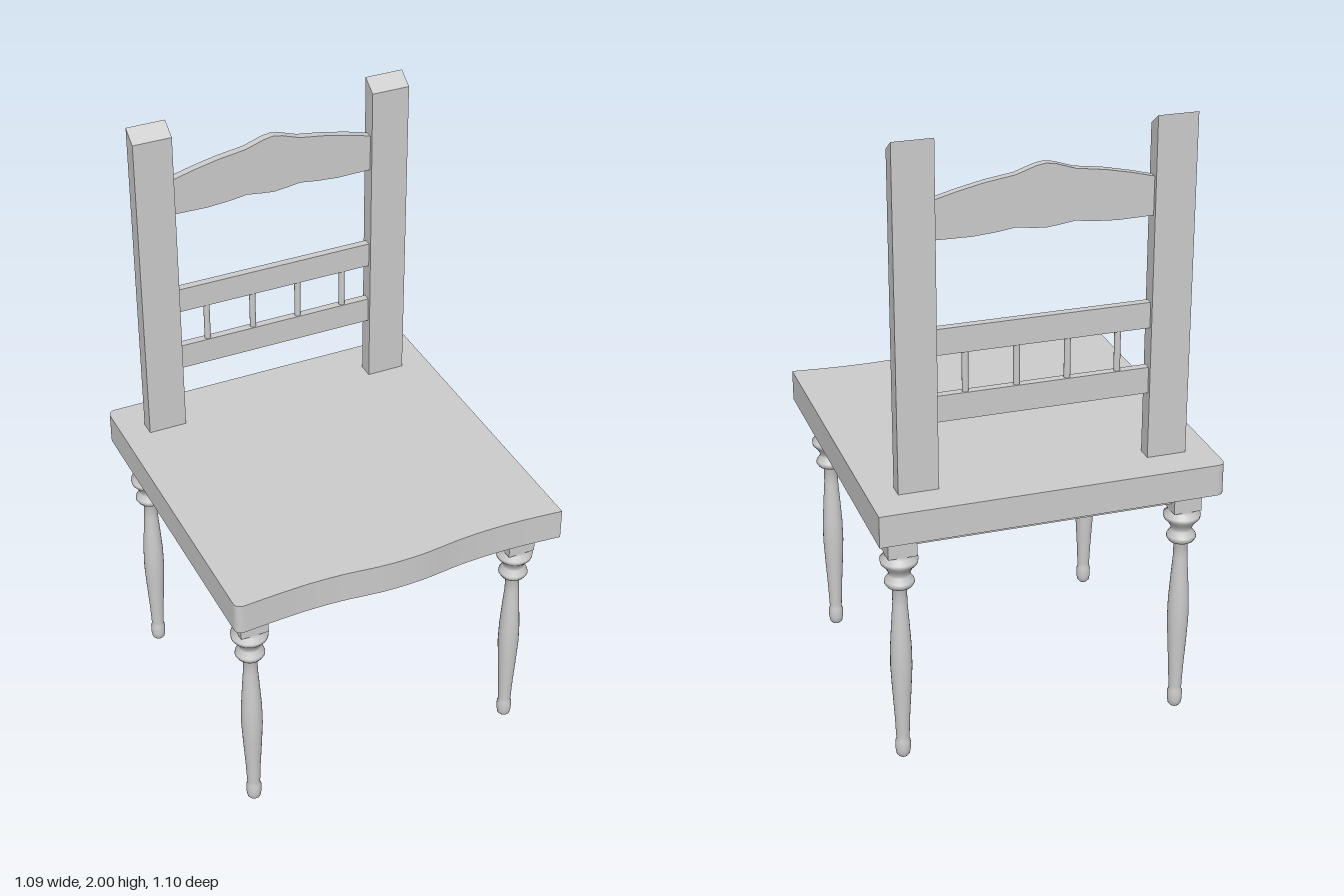
import * as THREE from 'three';

const material = new THREE.MeshStandardMaterial({ color: 0xcccccc });
const CX = -0.003; // the frame sits a hair off centre

function add(group, name, geometry, x = 0, y = 0, z = 0) {
  const mesh = new THREE.Mesh(geometry, material);
  mesh.name = name;
  mesh.position.set(x, y, z);
  group.add(mesh);
  return mesh;
}

const box = (w, h, d) => new THREE.BoxGeometry(w, h, d);
const extrude = (shape, depth) =>
  new THREE.ExtrudeGeometry(shape, { depth, bevelEnabled: false, curveSegments: 12 });

// Seat outline, drawn with shape y = -z: wavy front, two rounded corners
function seatGeometry() {
  const s = new THREE.Shape();
  s.moveTo(-0.515, -0.536);
  s.splineThru([[-0.42, -0.53], [-0.31, -0.526], [-0.2, -0.53], [-0.08, -0.543], [0, -0.546],
    [0.08, -0.543], [0.2, -0.53], [0.31, -0.526], [0.42, -0.53], [0.545, -0.541]]
    .map(([x, y]) => new THREE.Vector2(x, y)));
  s.lineTo(0.545, 0.549);
  s.lineTo(-0.515, 0.549);
  s.quadraticCurveTo(-0.545, 0.549, -0.545, 0.519);
  s.lineTo(-0.545, -0.51);
  s.quadraticCurveTo(-0.545, -0.538, -0.515, -0.536);
  return extrude(s, 0.102).rotateX(-Math.PI / 2);
}

// Turned leg: [radius, height], split at the crisp edges
function legGeometry() {
  const pts = [[0, 0.003], [0.014, 0.004], [0.021, 0.012], [0.024, 0.03], [0.024, 0.058],
    [0.02, 0.066], [0.021, 0.08], [0.024, 0.15], [0.03, 0.25], [0.034, 0.33], [0.033, 0.4],
    [0.028, 0.48], [0.023, 0.55], [0.022, 0.612], [0.04, 0.614], [0.047, 0.625], [0.045, 0.634],
    [0.034, 0.65], [0.034, 0.66], [0.042, 0.676], [0.057, 0.692], [0.059, 0.705],
    [0.045, 0.716], [0.045, 0.73]];
  return new THREE.LatheGeometry(pts.map(([r, y]) => new THREE.Vector2(r, y)), 24);
}

// Crest rail with a peaked top and a gently waved bottom
function crestGeometry() {
  const half = [[0.333, 1.815], [0.26, 1.834], [0.18, 1.851], [0.09, 1.864], [0.03, 1.884]];
  const low = [[-0.333, 1.696], [-0.22, 1.694], [-0.15, 1.699], [-0.09, 1.707], [-0.04, 1.7], [0, 1.696],
    [0.04, 1.7], [0.09, 1.707], [0.15, 1.699], [0.22, 1.694], [0.333, 1.696]];
  const top = [...half, [0, 1.889], ...half.map(([x, y]) => [-x, y]).reverse()];
  return extrude(new THREE.Shape([...low, ...top].map(([x, y]) => new THREE.Vector2(x, y))), 0.026);
}

// Back post: side profile (shape x = -z) with a slanted top
function postGeometry() {
  const profile = [[0.38, 0.91], [0.431, 0.91], [0.431, 2], [0.38, 1.965]];
  const s = new THREE.Shape(profile.map(([x, y]) => new THREE.Vector2(x, y)));
  return extrude(s, 0.125).translate(0, 0, -0.0625).rotateY(Math.PI / 2);
}

export function createModel() {
  const chair = new THREE.Group();
  chair.name = 'chair';

  add(chair, 'seat', seatGeometry(), 0, 0.817, 0);

  // Legs with their square blocks
  const leg = legGeometry();
  for (const sx of [-1, 1]) {
    for (const sz of [-1, 1]) {
      const g = new THREE.Group();
      g.name = `${sz > 0 ? 'front' : 'back'}${sx > 0 ? 'Left' : 'Right'}Leg`;
      g.position.set(CX + sx * 0.457, 0, sz * 0.424);
      add(g, 'turnedLeg', leg);
      add(g, 'legBlock', box(0.09, 0.09, 0.09), 0, 0.772, 0);
      chair.add(g);
    }
  }

  // Apron rails between the blocks
  for (const s of [-1, 1]) {
    add(chair, s > 0 ? 'frontApron' : 'backApron', box(0.83, 0.064, 0.04), CX, 0.785, s * 0.424);
    add(chair, s > 0 ? 'leftApron' : 'rightApron', box(0.04, 0.064, 0.764), CX + s * 0.457, 0.785, 0);
  }

  // Backrest
  const post = postGeometry();
  for (const s of [-1, 1]) add(chair, s > 0 ? 'leftPost' : 'rightPost', post, CX + s * 0.394, 0, 0);
  add(chair, 'crestRail', crestGeometry(), CX, 0, -0.418);
  add(chair, 'upperRail', box(0.666, 0.082, 0.026), CX, 1.383, -0.405);
  add(chair, 'lowerRail', box(0.666, 0.084, 0.026), CX, 1.172, -0.405);
  for (const x of [-0.237, -0.079, 0.079, 0.237]) {
    add(chair, 'spindle', new THREE.CylinderGeometry(0.01, 0.01, 0.13, 12), x, 1.278, -0.405);
  }
  return chair;
}
